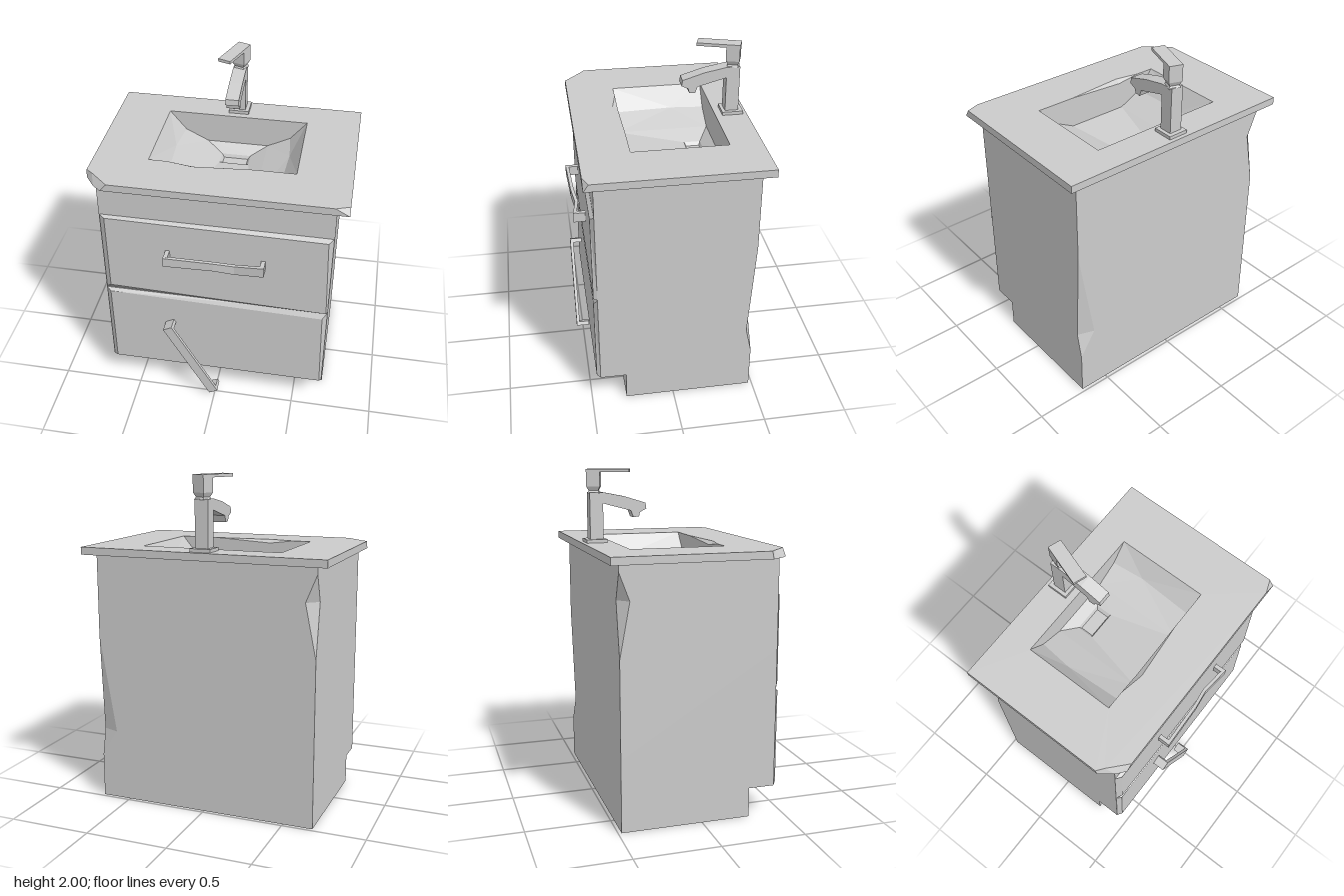
import * as THREE from 'three';

const grey = new THREE.MeshStandardMaterial({ color: 0xcccccc, flatShading: true });
const greyThin = new THREE.MeshStandardMaterial({ color: 0xcccccc, flatShading: true, side: THREE.DoubleSide });

// Flat-shaded mesh from convex (fan-triangulated) polygons
function facets(name, polygons, material = grey) {
  const positions = [];
  for (const p of polygons)
    for (let i = 1; i < p.length - 1; i++) positions.push(...p[0], ...p[i], ...p[i + 1]);
  const geometry = new THREE.BufferGeometry();
  geometry.setAttribute('position', new THREE.Float32BufferAttribute(positions, 3));
  geometry.computeVertexNormals();
  const mesh = new THREE.Mesh(geometry, material);
  mesh.name = name;
  return mesh;
}

// Skin through cross-section loops, anticlockwise seen from the far end
function loft(name, loops, caps = true) {
  const polygons = [];
  for (let k = 0; k < loops.length - 1; k++)
    loops[k].forEach((a, i) => {
      const j = (i + 1) % loops[k].length;
      polygons.push([a, loops[k][j], loops[k + 1][j], loops[k + 1][i]]);
    });
  if (caps) polygons.push([...loops[0]].reverse(), loops[loops.length - 1]);
  return facets(name, polygons);
}

function box(name, w, h, d, x, y, z) {
  const mesh = new THREE.Mesh(new THREE.BoxGeometry(w, h, d), grey);
  mesh.position.set(x, y, z);
  mesh.name = name;
  return mesh;
}

// Square-section loop lying flat at height y
const square = (r, y) => [[r, y, r], [r, y, -r], [-r, y, -r], [-r, y, r]];

// Cabinet with toe recess and a dent on each back edge
function cabinet() {
  const dent = (y, low, mid, high) =>
    Math.max(0, y < mid ? (y - low) / (mid - low) : (high - y) / (high - mid));
  const levels = [[0, 0.29], [0.175, 0.29], [0.175, 0.445], [0.27, 0.445], [0.43, 0.445],
    [1.0, 0.445], [1.03, 0.445], [1.32, 0.445], [1.48, 0.445], [1.52, 0.445]];
  const loops = levels.map(([y, front]) => {
    const a = dent(y, 0.27, 0.43, 1.03), b = dent(y, 1.0, 1.32, 1.48);
    return [[0.68, y, front], [0.68, y, -0.48 + 0.035 * a], [0.68 - 0.1 * a, y, -0.48],
      [-0.68 + 0.066 * b, y, -0.48], [-0.68, y, -0.48 + 0.06 * b], [-0.68, y, front]];
  });
  const bottom = [...loops[0]].reverse();
  const mesh = loft('cabinet', loops, false);
  const group = new THREE.Group();
  group.name = 'cabinetBody';
  group.add(mesh, facets('cabinetBottom', [bottom]));
  return group;
}

// Drawer front: outer rectangle bevelled to a slightly uneven face
function drawer(name, y0, y1, face) {
  const outer = [[-0.68, y0], [0.68, y0], [0.68, y1], [-0.68, y1]];
  return loft(name, [outer.map(([x, y]) => [x, y, 0.443]), face.map(([x, y]) => [x, y, 0.467])]);
}

// Bar handle along x with two legs; stations are [x, bottom, top, front]
function handle(name, stations) {
  const group = new THREE.Group();
  group.name = name;
  group.add(loft('handleBar', stations.map(([x, b, t, z]) =>
    [[x, b, z], [x, b, z - 0.02], [x, t, z - 0.02], [x, t, z]])));
  for (const s of [-1, 1]) group.add(box('handleLeg', 0.025, 0.06, 0.07, s * 0.282, 0, 0.497));
  return group;
}

// Counter slab with chipped front corners and a basin opening
function counter() {
  const top = [[0.75, 0.47], [0.75, -0.54], [-0.75, -0.54], [-0.75, 0.37], [-0.71, 0.40], [-0.6, 0.5], [0.67, 0.5]];
  const low = [[0.75, 0.5], [0.75, -0.54], [-0.75, -0.54], [-0.75, 0.38], [-0.69, 0.46], [-0.64, 0.5], [0.75, 0.5]];
  const hole = [[-0.43, -0.35], [0.43, -0.35], [0.43, 0.21], [0.19, 0.21], [-0.17, 0.24], [-0.32, 0.21], [-0.43, 0.21]];
  const group = new THREE.Group();
  group.name = 'counter';
  group.add(loft('counterEdge', [low.map(([x, z]) => [x, 1.525, z]), top.map(([x, z]) => [x, 1.57, z])], false));
  const toShape = pts => pts.map(([x, z]) => new THREE.Vector2(x, -z));
  for (const [name, pts, y] of [['counterTop', top, 1.57], ['counterUnderside', low.slice(0, 6), 1.525]]) {
    const shape = new THREE.Shape(toShape(pts));
    shape.holes.push(new THREE.Path(toShape(hole)));
    const mesh = new THREE.Mesh(new THREE.ShapeGeometry(shape).rotateX(-Math.PI / 2), greyThin);
    mesh.position.y = y;
    mesh.name = name;
    group.add(mesh);
  }
  return group;
}

// Basin: faceted sloping sides falling to a square drain
function basin() {
  const rim = 1.57, mid = 1.45, low = 1.38, drain = 1.33;
  const polygons = [];
  for (const s of [-1, 1]) {
    const backRim = [s * 0.43, rim, -0.35], frontRim = [s * 0.43, rim, 0.21];
    const backMid = [s * 0.33, mid, -0.35], elbow = [s * 0.35, mid, -0.15], frontMid = [s * 0.33, mid, 0.21];
    const backLow = [s * 0.19, low, -0.35], frontLow = [s * 0.19, low, 0.21];
    const drainBack = [s * 0.09, drain, -0.29], drainFront = [s * 0.09, drain, -0.19];
    polygons.push([backRim, backMid, elbow], [backRim, elbow, frontRim], [elbow, frontMid, frontRim],
      [backMid, backLow, elbow], [elbow, backLow, frontLow], [elbow, frontLow, frontMid],
      [backLow, drainBack, drainFront], [backLow, drainFront, frontLow]);
  }
  // floor, back slope, back wall
  polygons.push([[-0.09, drain, -0.19], [0.09, drain, -0.19], [0.19, low, 0.21], [-0.19, low, 0.21]],
    [[-0.19, low, -0.35], [0.19, low, -0.35], [0.09, drain, -0.29], [-0.09, drain, -0.29]],
    [[-0.43, rim], [-0.33, mid], [-0.19, low], [0.19, low], [0.33, mid], [0.43, rim]].map(([x, y]) => [x, y, -0.35]));
  // front wall with a chipped rim
  polygons.push([[0.19, low], [0.33, mid], [0.43, rim], [0.19, rim], [-0.17, 1.55], [-0.32, rim],
    [-0.43, rim], [-0.33, mid], [-0.19, low]].map(([x, y]) => [x, y, 0.21]));
  const chip = [-0.17, 1.55, 0.21], notch = [-0.17, rim, 0.24];
  polygons.push([[-0.32, rim, 0.21], notch, chip], [notch, [0.19, rim, 0.21], chip]);
  // drain recess
  const ring = (w, z0, z1, y) => [[-w, y, z0], [w, y, z0], [w, y, z1], [-w, y, z1]];
  const a = ring(0.09, -0.29, -0.19, drain), b = ring(0.075, -0.28, -0.2, drain - 0.02);
  a.forEach((p, i) => polygons.push([p, a[(i + 1) % 4], b[(i + 1) % 4], b[i]]));
  polygons.push(b);
  return facets('basin', polygons, greyThin);
}

// Tap: plate, column with a drooping spout, and a turned lever
function faucet() {
  const group = new THREE.Group();
  group.name = 'faucet';
  group.add(box('faucetPlate', 0.124, 0.022, 0.125, -0.003, 1.579, -0.453));
  const outline = [[-0.49, 1.585], [-0.41, 1.585], [-0.41, 1.8], [-0.24, 1.755], [-0.225, 1.715], [-0.19, 1.72],
    [-0.185, 1.745], [-0.145, 1.765], [-0.15, 1.8], [-0.28, 1.84], [-0.41, 1.865], [-0.49, 1.865]];
  const shape = new THREE.Shape(outline.map(([z, y]) => new THREE.Vector2(-z, y)));
  const geometry = new THREE.ExtrudeGeometry(shape, { depth: 0.08, bevelEnabled: false });
  geometry.rotateY(Math.PI / 2).translate(-0.044, 0, 0);
  const spout = new THREE.Mesh(geometry, grey);
  spout.name = 'columnAndSpout';
  group.add(spout);
  const lever = new THREE.Group();
  lever.name = 'lever';
  lever.position.set(0, 0, -0.455);
  lever.rotation.y = -0.33;
  lever.add(loft('leverBlock', [square(0.036, 1.86), square(0.028, 1.875), square(0.04, 1.9), square(0.04, 2.0)]),
    box('leverBlade', 0.08, 0.018, 0.255, 0, 1.991, 0.085));
  group.add(lever);
  return group;
}

export function createModel() {
  const model = new THREE.Group();
  model.name = 'vanityUnit';
  model.add(cabinet(), counter(), basin(), faucet());
  model.add(drawer('upperDrawer', 0.765, 1.32, [[-0.645, 0.8], [0.67, 0.768], [0.65, 1.297], [-0.645, 1.308]]));
  model.add(drawer('lowerDrawer', 0.175, 0.76, [[-0.65, 0.188], [0.665, 0.188], [0.65, 0.72], [-0.65, 0.747]]));

  // upper handle is bent, lower handle hangs askew
  const upper = handle('upperHandle', [[-0.295, -0.03, 0.03, 0.543], [0, -0.032, 0.022, 0.532],
    [0.12, -0.055, 0.005, 0.515], [0.295, -0.03, 0.033, 0.538]]);
  upper.position.set(0.005, 1.09, 0);
  const lower = handle('lowerHandle', [[-0.295, -0.03, 0.03, 0.543], [0.295, -0.03, 0.03, 0.543]]);
  lower.position.set(-0.145, 0.297, 0);
  lower.rotation.z = -1.07;
  model.add(upper, lower);
  return model;
}
